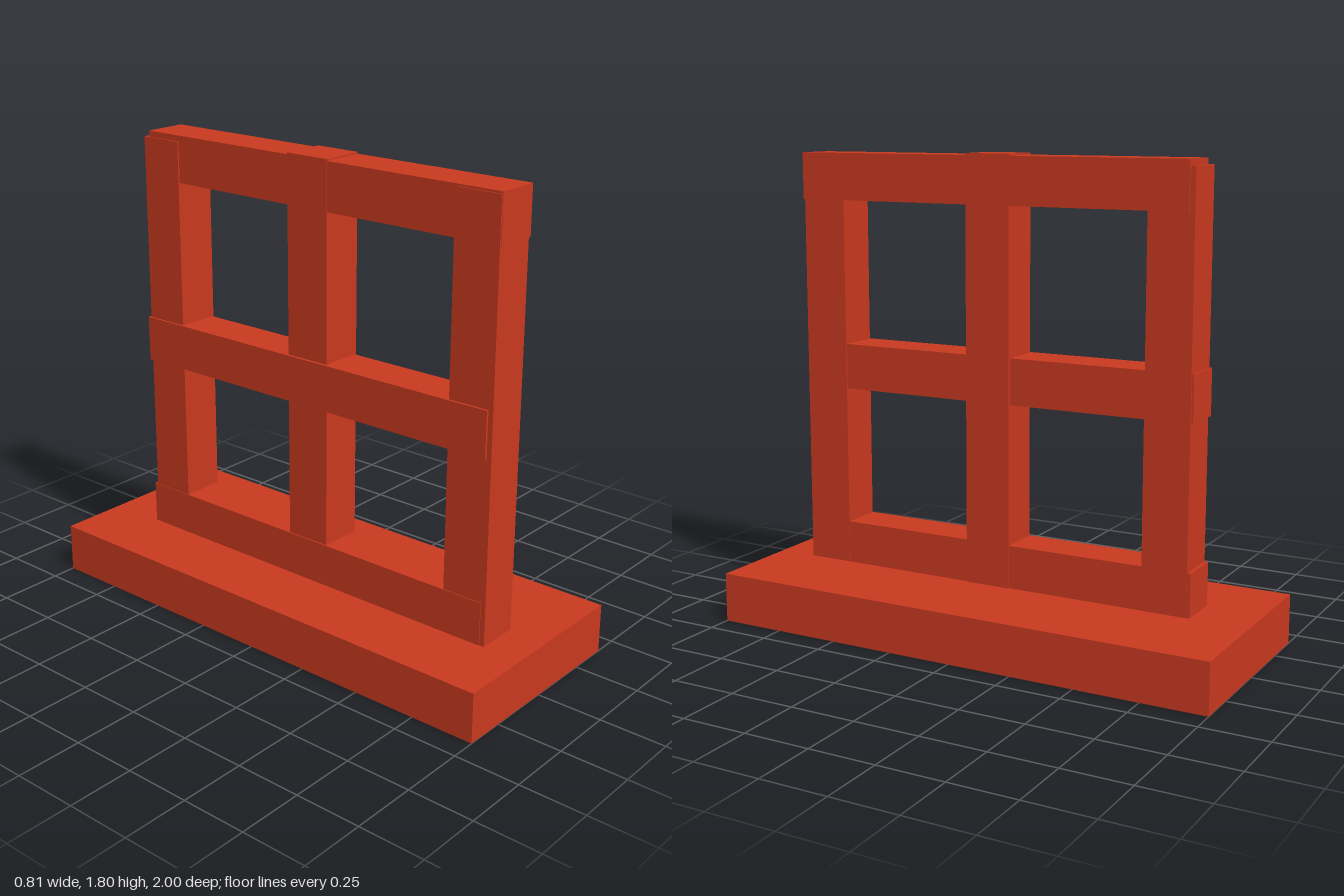
import * as THREE from 'three';

export function createModel() {
  const group = new THREE.Group();
  const material = new THREE.MeshStandardMaterial({ color: 0xc8391f });

  // Box given by its extents along each axis
  const beam = (name, [x0, x1], [y0, y1], [z0, z1]) => {
    const mesh = new THREE.Mesh(new THREE.BoxGeometry(x1 - x0, y1 - y0, z1 - z0), material);
    mesh.position.set((x0 + x1) / 2, (y0 + y1) / 2, (z0 + z1) / 2);
    mesh.name = name;
    group.add(mesh);
  };

  // Plinth
  beam('base', [-0.405, 0.405], [0, 0.19], [-1, 1]);

  // Uprights, slightly offset from one another
  beam('frontPost', [-0.129, 0.036], [0.18, 1.79], [0.67, 0.849]);
  beam('middlePost', [-0.127, 0.04], [0.18, 1.805], [-0.05, 0.13]);
  beam('backPost', [-0.13, 0.037], [0.18, 1.775], [-0.765, -0.59]);

  // Horizontal rails
  beam('topRail', [-0.124, 0.043], [1.62, 1.798], [-0.745, 0.851]);
  beam('middleRail', [-0.138, 0.03], [0.89, 1.065], [-0.772, 0.83]);
  beam('bottomRail', [-0.132, 0.035], [0.18, 0.355], [-0.778, 0.83]);

  return group;
}
